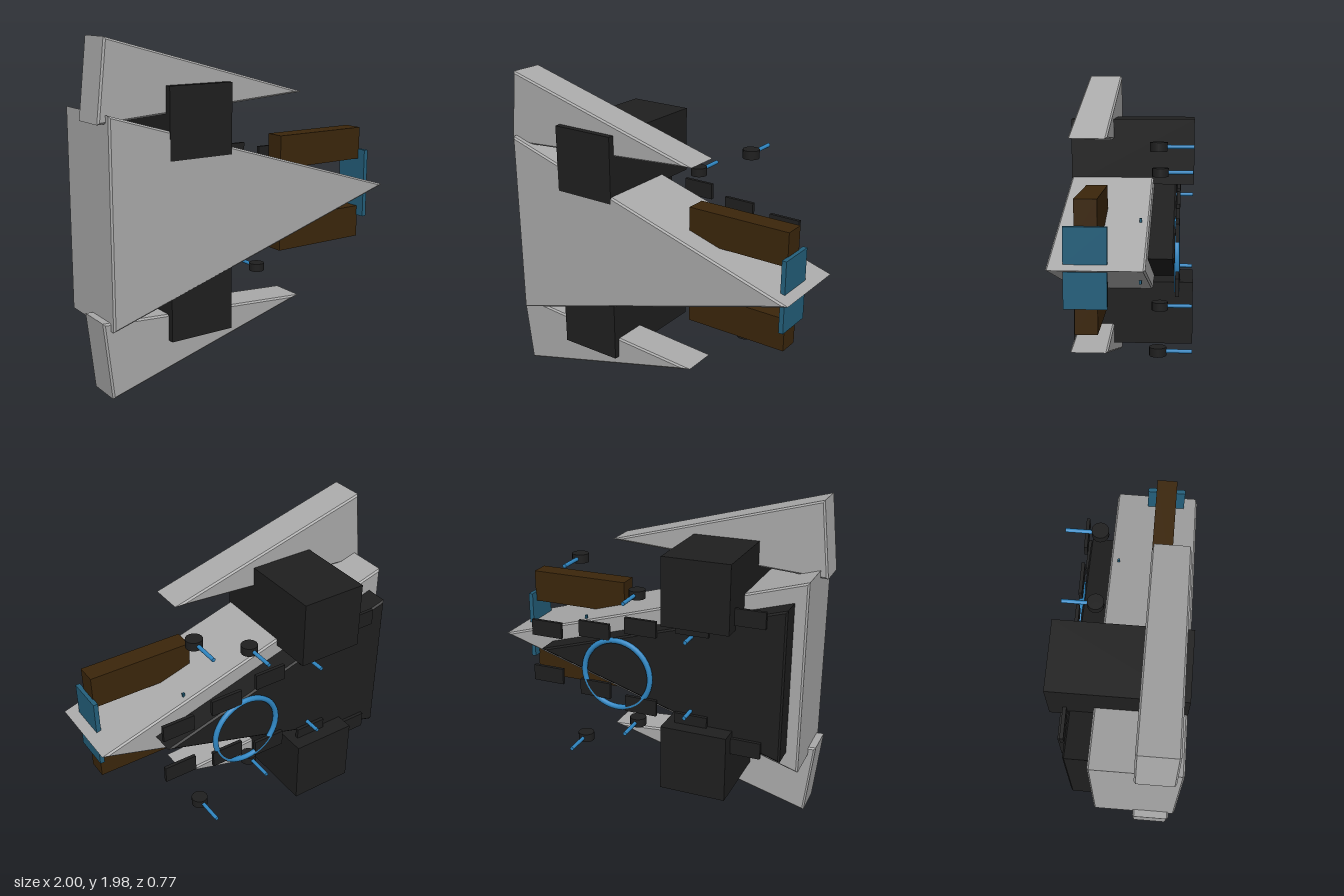
import * as THREE from 'three';
import { ConvexGeometry } from 'three/addons/geometries/ConvexGeometry.js';

const material = (name, color, opts = {}) => {
  const m = new THREE.MeshStandardMaterial({ color, ...opts });
  m.name = name;
  return m;
};

// Triangular slab between two depths, its front and back rims chamfered toward the incentre
function slab([a, b, c], z0, z1, bevel = 0.01) {
  const la = b.distanceTo(c), lb = a.distanceTo(c), lc = a.distanceTo(b), per = la + lb + lc;
  const centre = new THREE.Vector2()
    .addScaledVector(a, la / per).addScaledVector(b, lb / per).addScaledVector(c, lc / per);
  const s = per / 2;
  const inradius = Math.sqrt((s - la) * (s - lb) * (s - lc) / s);
  const inset = 1 - bevel / inradius;
  const points = [];
  for (const [z, k] of [[z0, inset], [z0 + bevel, 1], [z1 - bevel, 1], [z1, inset]]) {
    for (const p of [a, b, c]) {
      const q = p.clone().sub(centre).multiplyScalar(k).add(centre);
      points.push(new THREE.Vector3(q.x, q.y, z));
    }
  }
  return new ConvexGeometry(points);
}

export function createModel() {
  const group = new THREE.Group();
  const grey = material('hull grey', 0xaaaaaa);
  const black = material('dark metal', 0x1f1f1f);
  const brown = material('pod brown', 0x3b260b);
  const blue = material('bright blue', 0x2f86c2);
  const teal = material('panel blue', 0x24607c);
  const V = (x, y) => new THREE.Vector2(x, y);

  const add = (name, geometry, mat, x = 0, y = 0, z = 0) => {
    const mesh = new THREE.Mesh(geometry, mat);
    mesh.name = name;
    mesh.position.set(x, y, z);
    group.add(mesh);
    return mesh;
  };
  // Box given by its extents
  const box = (name, mat, x0, x1, y0, y1, z0, z1) =>
    add(name, new THREE.BoxGeometry(x1 - x0, Math.abs(y1 - y0), z1 - z0), mat,
      (x0 + x1) / 2, (y0 + y1) / 2, (z0 + z1) / 2);
  // Rod running along z
  const rod = (name, x, y, z0, z1, r = 0.012) => {
    const m = add(name, new THREE.CylinderGeometry(r, r, z1 - z0, 10), blue, x, y, (z0 + z1) / 2);
    m.rotation.x = Math.PI / 2;
  };

  // Main wedge and the smaller dark wedge behind it
  add('hull', slab([V(-0.955, 0.41), V(1, 1), V(-0.955, 1.59)], -0.13, 0.385), grey);
  add('rearWedge', slab([V(-0.88, 0.535), V(0.66, 1), V(-0.88, 1.465)], -0.275, -0.12), black);

  // Ring on the back
  add('rearRing', new THREE.TorusGeometry(0.215, 0.017, 10, 40), blue, 0.14, 0.925, -0.285);

  // Everything else is mirrored above and below the middle line
  for (const s of [1, -1]) {
    const y = (d) => 1 + s * d;

    add('fin', slab([V(-0.95, y(0.99)), V(-1, y(0.54)), V(0.35, y(0.632))], 0.12, 0.347), grey);
    box('engineBlock', black, -0.59, -0.185, y(0.315), y(0.722), -0.385, 0.385 + s * 0.001);
    box('pod', brown, 0.275, 0.915, y(0.157), y(0.36), 0.12, 0.243);
    box('endPanel', teal, 0.91, 0.938, y(0.02), y(0.218), 0.068, 0.3);
    box('sensor', teal, 0.433, 0.447, y(0.165), y(0.19), -0.087, -0.073);

    // Turrets with long barrels
    for (const [x, d] of [[0.05, 0.413], [0.415, 0.592]]) {
      add('turret', new THREE.CylinderGeometry(0.05, 0.05, 0.052, 16), black, x, y(d), -0.18);
      rod('barrel', x, y(d), -0.38, -0.2);
    }
    rod('rearRod', -0.33, y(0.235), -0.38, -0.27);

    // Row of thin plates spreading toward the wide end
    for (const [x, d] of [[0.6, 0.15], [0.28, 0.19], [-0.02, 0.25], [-0.34, 0.3], [-0.67, 0.4]]) {
      box('rearPlate', black, x - 0.1, x + 0.1, y(d - 0.05), y(d + 0.05), -0.301, -0.28);
    }
  }
  return group;
}
